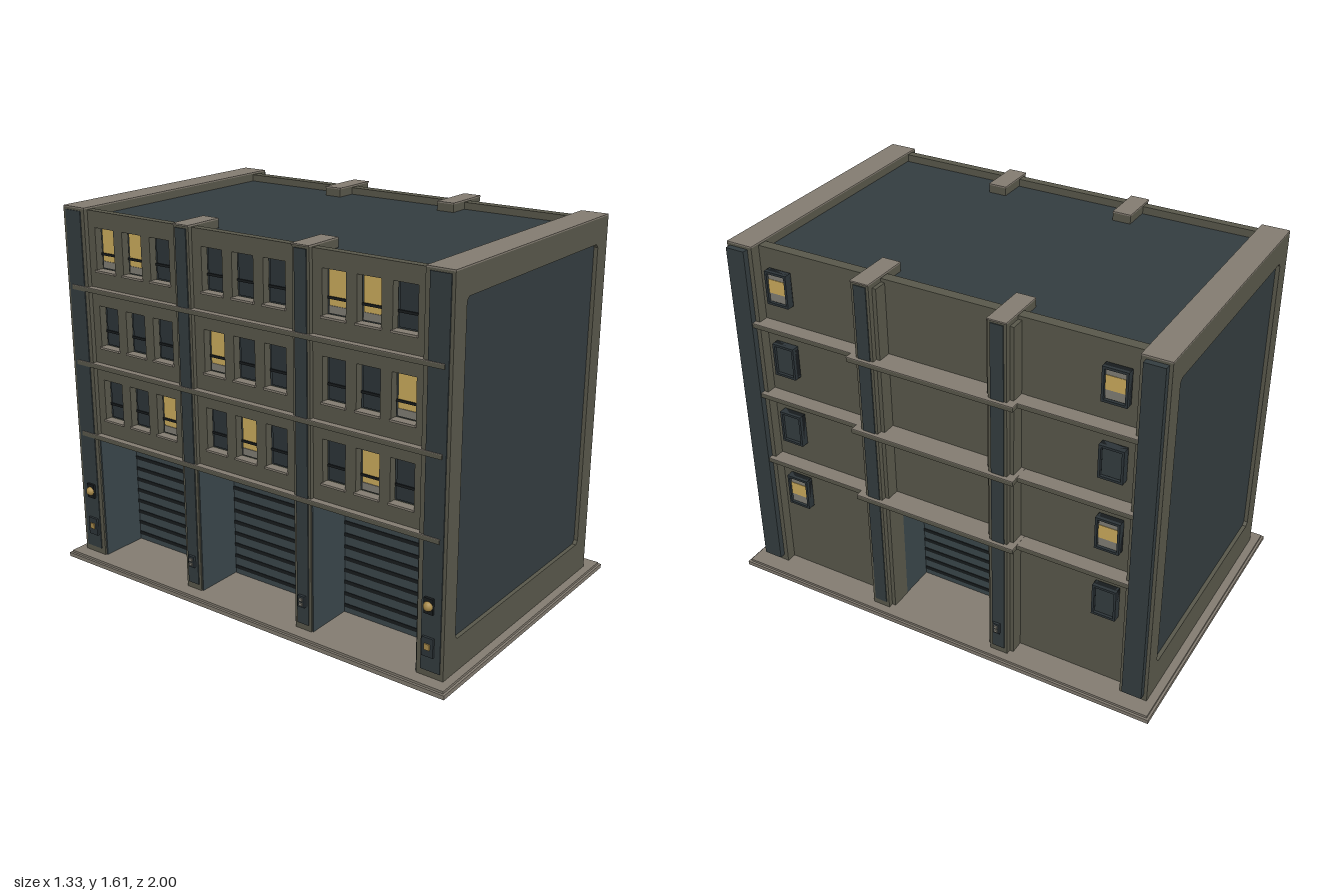
import * as THREE from 'three';

const mat = (name, color) => {
  const m = new THREE.MeshStandardMaterial({ color });
  m.name = name;
  return m;
};

export function createModel() {
  const root = new THREE.Group();
  root.name = 'building';

  const wall = mat('olive wall', 0x58574a);
  const stone = mat('pale stone', 0x827b70);
  const dark = mat('blue grey panel', 0x333c3f);
  const door = mat('shutter', 0x3a464a);
  const black = mat('black gap', 0x171b1d);
  const glass = mat('dark glass', 0x2c3438);
  const lit = mat('lit glass', 0xcbab5c);
  const blind = mat('grey blind', 0x7f7d74);
  const brass = mat('brass', 0xa88a4a);

  // Box given by its limits on each axis
  const box = (name, m, x0, x1, y0, y1, z0, z1) => {
    const mesh = new THREE.Mesh(new THREE.BoxGeometry(x1 - x0, y1 - y0, z1 - z0), m);
    mesh.position.set((x0 + x1) / 2, (y0 + y1) / 2, (z0 + z1) / 2);
    mesh.name = name;
    root.add(mesh);
    return mesh;
  };
  const rect = (Type, a0, a1, b0, b1, c = 0) => {
    const p = new Type();
    p.moveTo(a0 + c, b0);
    p.lineTo(a1 - c, b0); p.lineTo(a1, b0 + c);
    p.lineTo(a1, b1 - c); p.lineTo(a1 - c, b1);
    p.lineTo(a0 + c, b1); p.lineTo(a0, b1 - c);
    p.lineTo(a0, b0 + c); p.closePath();
    return p;
  };

  const TOP = 1.61, BASE = 0.025;
  const ledges = [0.6, 0.93, 1.265];

  // Base slab
  box('baseSlab', stone, -0.665, 0.665, 0, 0.018, -1, 1);
  box('baseStep', stone, -0.655, 0.655, 0.018, BASE + 0.003, -0.99, 0.99);

  // Core and roof
  box('lowerCore', dark, -0.37, 0.33, BASE, 0.6, -0.84, 0.84);
  box('upperCore', dark, -0.54, 0.5, 0.592, 1.57, -0.84, 0.84);
  box('recessCeiling', wall, -0.57, 0.53, 0.588, 0.592, -0.84, 0.84);

  // End walls: frame around a sunken panel, with a stone coping
  for (const s of [1, -1]) {
    const shape = rect(THREE.Shape, -0.6, 0.58, BASE, TOP - 0.006);
    shape.holes.push(rect(THREE.Path, -0.52, 0.5, 0.17, 1.5, 0.015));
    const frame = new THREE.Mesh(
      new THREE.ExtrudeGeometry(shape, { depth: 0.12, bevelEnabled: false }), wall);
    frame.position.z = s > 0 ? 0.835 : -0.955;
    frame.name = 'endFrame';
    root.add(frame);
    const z = s * 0.885;
    box('endPanel', dark, -0.53, 0.51, 0.16, 1.51, z - 0.053, z + 0.053);
    box('endCoping', stone, -0.6, 0.58, TOP - 0.006, TOP, s * 0.895 - 0.06, s * 0.895 + 0.06);
    // Dark corner strips
    box('cornerStrip', dark, 0.575, 0.606, 0.055, 1.595, s * 0.898 - 0.043, s * 0.898 + 0.043);
    box('cornerStrip', dark, -0.604, -0.59, 0.055, 1.595, s * 0.898 - 0.043, s * 0.898 + 0.043);
  }

  // Right side walls and parapet
  box('rightUpperWall', wall, 0.49, 0.535, 0.59, 1.6, -0.84, 0.84);
  for (const s of [1, -1]) {
    box('rightLowerWall', wall, 0.3, 0.535, BASE, 0.6, s * 0.545 - 0.295, s * 0.545 + 0.295);
    box('doorJamb', door, 0.33, 0.534, BASE, 0.588, s * 0.2475 - 0.0075, s * 0.2475 + 0.0075);
  }

  // Left wall with window openings
  const bays = [-0.588, 0, 0.588];
  const floors = [0.775, 1.105, 1.44];
  const litWindows = ['100010010', '000100001', '110000110'].map(
    (row, i) => (i === 0 ? '001010010' : row));
  const leftShape = rect(THREE.Shape, -0.84, 0.84, 0.59, 1.6);
  floors.forEach((y, f) => bays.forEach((b, i) => {
    [-0.155, 0, 0.155].forEach((d, j) => {
      const z = b + d;
      leftShape.holes.push(rect(THREE.Path, -z - 0.053, -z + 0.053, y - 0.09, y + 0.09));
      const on = litWindows[f][i * 3 + j] === '1';
      box('leftPane', on ? lit : glass, -0.548, -0.54, y - 0.085, y + 0.085, z - 0.045, z + 0.045);
      if (on) box('leftBlind', blind, -0.551, -0.547, y - 0.085, y - 0.055, z - 0.045, z + 0.045);
      box('leftWindowRail', black, -0.553, -0.545, y - 0.03, y - 0.02, z - 0.05, z + 0.05);
      box('leftWindowSill', stone, -0.59, -0.555, y - 0.098, y - 0.089, z - 0.056, z + 0.056);
    });
  }));
  const leftWall = new THREE.Mesh(
    new THREE.ExtrudeGeometry(leftShape, { depth: 0.035, bevelEnabled: false }), wall);
  leftWall.rotation.y = -Math.PI / 2;
  leftWall.scale.x = 1;
  leftWall.position.x = -0.545;
  leftWall.name = 'leftUpperWall';
  // Shape x runs along the wall's length; the openings are symmetric about z = 0
  root.add(leftWall);
  box('leftParapet', wall, -0.58, -0.548, 1.565, 1.6, -0.84, 0.84);

  // Pillars with dark strips and stone caps reaching over the roof
  for (const s of [1, -1]) {
    const z = s * 0.295, t = TOP - 0.006;
    box('rightPillar', wall, 0.4, 0.618, 1.56, t, z - 0.04, z + 0.04);
    box('rightPillar', wall, 0.5, 0.618, BASE, t, z - 0.04, z + 0.04);
    box('rightPillarBacking', wall, 0.5, 0.595, BASE, 1.585, z - 0.057, z + 0.057);
    box('rightPillarStrip', dark, 0.615, 0.622, 0.055, 1.595, z - 0.028, z + 0.028);
    box('rightPillarCap', stone, 0.4, 0.622, t, TOP, z - 0.041, z + 0.041);
    box('leftPillar', wall, -0.598, -0.37, BASE, 0.6, z - 0.04, z + 0.04);
    box('leftPillar', wall, -0.598, -0.42, 0.6, t, z - 0.04, z + 0.04);
    box('leftPillarStrip', dark, -0.603, -0.595, 0.055, 1.595, z - 0.028, z + 0.028);
    box('leftPillarCap', stone, -0.603, -0.42, t, TOP, z - 0.041, z + 0.041);
    for (const e of [-0.042, 0.042])
      box('leftJamb', door, -0.592, -0.37, BASE, 0.588, z + e - 0.003, z + e + 0.003);
    box('leftEndJamb', door, -0.592, -0.37, BASE, 0.588, s * 0.832 - 0.004, s * 0.832 + 0.004);
  }

  // Floor ledges
  for (const y of ledges) {
    const a = y - 0.01, b = y + 0.01;
    box('rightLedge', wall, 0.5, 0.602, a, b - 0.003, -0.925, 0.925);
    box('rightLedgeTop', stone, 0.5, 0.602, b - 0.003, b, -0.925, 0.925);
    box('rightMiddleLedge', wall, 0.5, 0.637, a, b - 0.003, -0.37, 0.37);
    box('rightMiddleLedgeTop', stone, 0.5, 0.637, b - 0.003, b + 0.001, -0.37, 0.37);
    box('leftLedge', wall, -0.608, -0.54, a, b - 0.003, -0.925, 0.925);
    box('leftLedgeTop', stone, -0.608, -0.54, b - 0.003, b, -0.925, 0.925);
  }

  // Roller shutters with dark gaps
  const shutter = (x, dir, z, half) => {
    box('shutter', door, x - 0.006, x + 0.006, BASE, 0.588, z - half, z + half);
    const gx = x + dir * 0.006;
    for (let i = 0; i < 10; i++) {
      const y = 0.06 + i * 0.0535;
      box('shutterGap', black, gx - 0.003, gx + 0.003, y - 0.008, y + 0.008, z - half, z + half);
    }
  };
  shutter(0.335, 1, 0, 0.24);
  for (const z of bays) shutter(-0.375, -1, z, 0.246);

  // Small windows on the right side
  [0.445, 0.777, 1.108, 1.44].forEach((y, f) => {
    for (const s of [1, -1]) {
      const z = s * 0.74;
      const on = s > 0 ? f === 0 || f === 3 : f === 1 || f === 3;
      box('rightWindowFrame', black, 0.53, 0.557, y - 0.073, y + 0.073, z - 0.052, z + 0.052);
      for (const e of [-1, 1]) {
        box('rightWindowSide', glass, 0.53, 0.57, y - 0.073, y + 0.073, z + e * 0.047 - 0.005, z + e * 0.047 + 0.005);
        box('rightWindowRail', glass, 0.53, 0.57, y + e * 0.068 - 0.005, y + e * 0.068 + 0.005, z - 0.052, z + 0.052);
      }
      box('rightPane', on ? blind : dark, 0.554, 0.561, y - 0.06, y + 0.06, z - 0.04, z + 0.04);
      if (on) box('rightPaneLight', lit, 0.559, 0.563, y - 0.022, y + 0.038, z - 0.04, z + 0.04);
    }
  });

  // Wall lamps and control boxes
  for (const s of [1, -1]) {
    const z = s * 0.89;
    box('lampMount', black, -0.615, -0.6, 0.3, 0.365, z - 0.02, z + 0.02);
    const lamp = new THREE.Mesh(new THREE.SphereGeometry(0.02, 12, 8), brass);
    lamp.position.set(-0.615, 0.333, z);
    lamp.name = 'wallLamp';
    root.add(lamp);
    box('meterBox', glass, -0.614, -0.6, 0.12, 0.2, z - 0.025, z + 0.025);
    box('meterDial', brass, -0.619, -0.612, 0.15, 0.175, z - 0.012, z + 0.012);
  }
  const keypad = (x, dir, z) => {
    box('keypad', glass, x - 0.007, x + 0.007, 0.135, 0.185, z - 0.016, z + 0.016);
    for (const y of [0.15, 0.17])
      box('keypadButton', blind, x + dir * 0.009 - 0.004, x + dir * 0.009 + 0.004, y - 0.006, y + 0.006, z - 0.008, z + 0.008);
  };
  keypad(0.626, 1, -0.29);
  keypad(-0.608, -1, -0.295);
  keypad(-0.608, -1, 0.295);

  return root;
}
